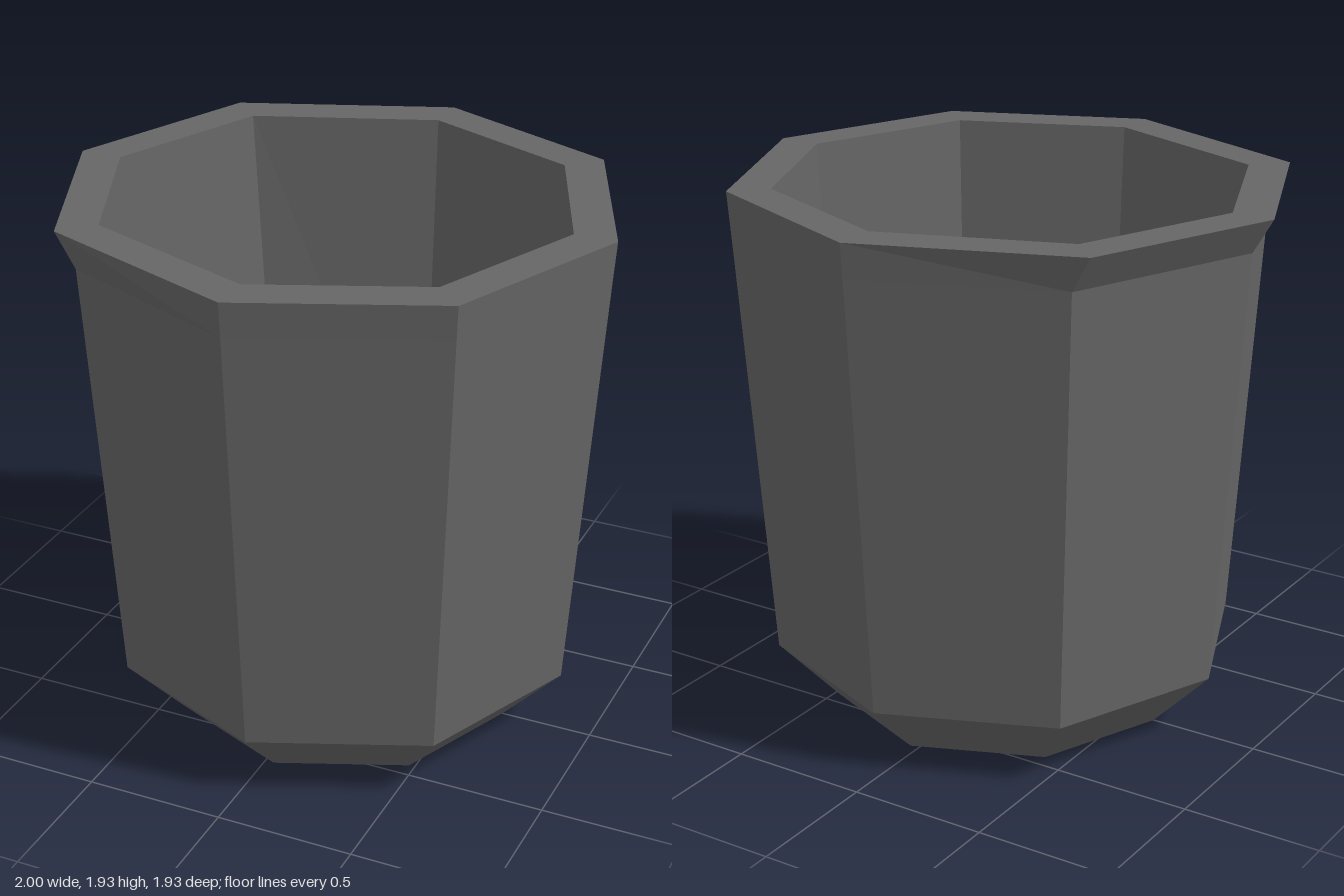
import * as THREE from 'three';

const SIDES = 8;
const TOP = 1.935;    // rim height
const FLOOR = 0.225;  // inner floor and top of the base bevel
const LIP = 0.065;    // how far the pouring lip leans towards -x
const OFFSET = 0.0325;

// Eight-sided shell from [radius, height] pairs; its top ring is pushed out at the lip
function shell(name, profile, material) {
  const points = profile.map(([r, y]) => new THREE.Vector2(r, y));
  const geometry = new THREE.LatheGeometry(points, SIDES).toNonIndexed();
  const pos = geometry.attributes.position;
  for (let i = 0; i < pos.count; i++) {
    const onLip = pos.getY(i) > TOP - 0.01 && pos.getX(i) < -0.1;
    pos.setX(i, pos.getX(i) + OFFSET - (onLip ? LIP : 0));
  }
  geometry.computeVertexNormals();
  const mesh = new THREE.Mesh(geometry, material);
  mesh.name = name;
  return mesh;
}

export function createModel() {
  const group = new THREE.Group();
  group.name = 'cup';
  const grey = new THREE.MeshStandardMaterial({ color: 0x666666, flatShading: true });
  grey.name = 'dark grey';

  // Underside, base bevel, tapered wall and flared lip
  group.add(shell('outerWall', [[0, 0], [0.63, 0], [0.8475, FLOOR], [0.958, 1.81], [0.9675, TOP]], grey));
  // Flat top edge
  group.add(shell('rim', [[0.9675, TOP], [0.815, TOP]], grey));
  // Inner wall and floor
  group.add(shell('interior', [[0.815, TOP], [0.725, FLOOR], [0, FLOOR]], grey));

  return group;
}
